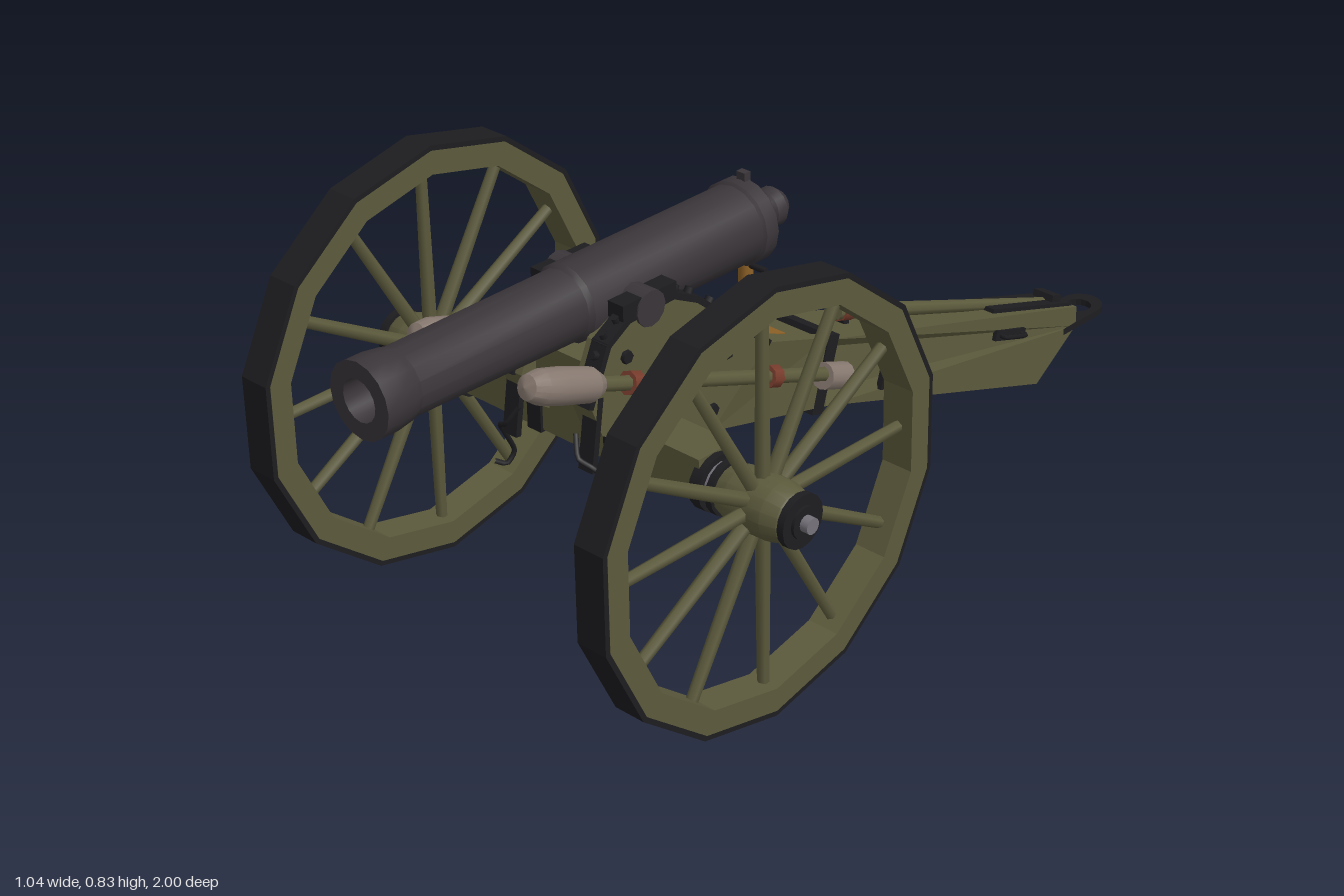
import * as THREE from 'three';
import { toCreasedNormals } from 'three/addons/utils/BufferGeometryUtils.js';

const paint = (color, extra = {}) => new THREE.MeshStandardMaterial({ color, ...extra });
const olive = paint(0x5c5a3c), iron = paint(0x1d1d20), gunmetal = paint(0x3a3539), steel = paint(0x75727a);
const fleece = paint(0x86786f), copper = paint(0x783c2c), brass = paint(0x8f6227);

const V = (x, y, z) => new THREE.Vector3(x, y, z);
const PITCH = 0.31;                                  // slope of the trail
const trailTop = z => 0.13 + (z + 0.88) * 0.313;
const trailHalf = z => z > -0.05 ? 0.078 : 0.078 + (z + 0.05) * 0.042;

export function createModel() {
  const model = new THREE.Group();

  function add(name, geometry, material, parent = model) {
    const mesh = new THREE.Mesh(geometry, material);
    mesh.name = name;
    parent.add(mesh);
    return mesh;
  }
  function box(name, size, pos, material, tilt = 0, parent = model) {
    const m = add(name, new THREE.BoxGeometry(...size), material, parent);
    m.position.set(...pos);
    m.rotation.x = tilt;
    return m;
  }
  // turned profile of [radius, distance along the axis]
  function turned(profile, sides) {
    const g = new THREE.LatheGeometry(profile.map(p => new THREE.Vector2(...p)), sides);
    return toCreasedNormals(g, 0.42);
  }
  const turnedX = (profile, sides) => turned(profile, sides).rotateZ(-Math.PI / 2).rotateX(Math.PI / 2);
  // side outline of [z, y], extruded from x0 to x1
  function slab(outline, x0, x1) {
    const shape = new THREE.Shape(outline.map(([z, y]) => new THREE.Vector2(-z, y)));
    return new THREE.ExtrudeGeometry(shape, { depth: x1 - x0, bevelEnabled: false })
      .rotateY(Math.PI / 2).translate(x0, 0, 0);
  }
  function bendX(g, rule) {
    const p = g.attributes.position;
    for (let i = 0; i < p.count; i++) p.setX(i, rule(p.getX(i), p.getZ(i)));
    g.computeVertexNormals();
    return g;
  }
  function rod(name, a, b, r0, r1, material, sides = 8, parent = model) {
    const m = add(name, new THREE.CylinderGeometry(r1, r0, a.distanceTo(b), sides), material, parent);
    m.position.copy(a).lerp(b, 0.5);
    m.quaternion.setFromUnitVectors(V(0, 1, 0), b.clone().sub(a).normalize());
    return m;
  }
  const wire = (name, pts, r, material = iron) =>
    add(name, new THREE.TubeGeometry(new THREE.CatmullRomCurve3(pts, false, 'catmullrom', 0.3), 24, r, 5), material);

  // Barrel with knob, breech ring, reinforce step, muzzle swell and bore
  const barrel = turned([[0, -0.005], [0.025, 0], [0.038, 0.018], [0.036, 0.04], [0.021, 0.056], [0.03, 0.068],
    [0.06, 0.075], [0.076, 0.085], [0.081, 0.09], [0.081, 0.12], [0.076, 0.125], [0.073, 0.54], [0.067, 0.55],
    [0.063, 0.92], [0.066, 0.93], [0.071, 0.965], [0.071, 1], [0.039, 1], [0.037, 0.9], [0, 0.9]], 16);
  add('barrel', barrel.rotateX(Math.PI / 2), gunmetal).position.y = 0.665;
  box('rearSight', [0.02, 0.02, 0.015], [0, 0.75, 0.095], gunmetal);

  // Trail: one tapering beam from the axle to the ground
  const trail = slab([[0.56, 0.47], [0.56, 0.58], [0.42, 0.575], [0.15, 0.465], [-0.05, 0.39], [-0.88, 0.13],
    [-0.88, 0.085], [-0.745, 0.003], [-0.05, 0.25], [0.3, 0.36], [0.45, 0.39]], -1, 1);
  add('trail', bendX(trail, (x, z) => x * trailHalf(z)), olive);
  box('trailBand', [0.172, 0.158, 0.03], [0, 0.325, -0.035], iron, -PITCH);
  box('trailTopPlate', [0.07, 0.012, 0.28], [0, trailTop(-0.74) + 0.002, -0.74], iron, -PITCH);
  box('trailSolePlate', [0.08, 0.012, 0.2], [0, 0.04, -0.645], iron, -PITCH - 0.03);

  // Towing eye
  const eye = new THREE.Shape();
  eye.moveTo(-0.045, 0.8).lineTo(0.045, 0.8).lineTo(0.045, 0.955);
  eye.absarc(0, 0.955, 0.045, 0, Math.PI, false);
  eye.holes.push(new THREE.Path().absarc(0, 0.945, 0.028, 0, Math.PI * 2, true));
  const eyeGeo = new THREE.ExtrudeGeometry(eye, { depth: 0.014, bevelEnabled: false, curveSegments: 8 });
  add('towingEye', eyeGeo.rotateX(-Math.PI / 2), iron).position.y = 0.08;

  // Handspike stowed on the trail
  rod('handspike', V(0, 0.38, -0.16), V(0, 0.145, -0.83), 0.017, 0.011, olive);
  rod('handspikeRing', V(0, 0.379, -0.17), V(0, 0.371, -0.195), 0.022, 0.022, copper);
  box('handspikePost', [0.02, 0.05, 0.015], [0, 0.35, -0.18], iron);
  box('handspikeCatch', [0.05, 0.035, 0.03], [0, 0.15, -0.83], iron, -PITCH);

  // Elevating screw under the breech
  rod('elevatingScrew', V(0, 0.43, 0.09), V(0, 0.6, 0.09), 0.014, 0.014, brass);
  rod('screwNut', V(0, 0.43, 0.09), V(0, 0.475, 0.09), 0.03, 0.024, brass);
  box('screwPlate', [0.12, 0.016, 0.08], [0, 0.442, 0.09], brass, -PITCH);
  rod('screwHandle', V(-0.05, 0.575, 0.09), V(0.05, 0.575, 0.09), 0.006, 0.006, iron, 6);

  // Axle
  box('axleBeam', [0.6, 0.085, 0.085], [0, 0.428, 0.49], olive);
  rod('axleRod', V(-0.505, 0.415, 0.49), V(0.505, 0.415, 0.49), 0.022, 0.022, steel, 10);

  const cheekTop = [[0.595, 0.525], [0.55, 0.625], [0.5, 0.655], [0.39, 0.66], [0.33, 0.63], [0.15, 0.475]];
  for (const s of [1, -1]) {
    const side = s > 0 ? 'left' : 'right';

    // Cheek, narrowing to meet the trail at the band
    const cheek = slab([...cheekTop, [-0.04, 0.4], [-0.04, 0.255], [0.3, 0.355], [0.46, 0.388], [0.57, 0.46]],
      s > 0 ? 0.06 : -0.11, s > 0 ? 0.11 : -0.06);
    add(side + 'Cheek', bendX(cheek, (x, z) => Math.abs(x) > 0.1 && z < 0.1 ? s * 0.083 : x), olive);

    // Iron strap over the cheek with bolts
    for (let i = 0; i < cheekTop.length - 1; i++) {
      const [z0, y0] = cheekTop[i], [z1, y1] = cheekTop[i + 1];
      const len = Math.hypot(z1 - z0, y1 - y0), tilt = Math.atan2(y1 - y0, z0 - z1);
      const strap = box(side + 'CheekStrap', [0.036, 0.012, len + 0.008],
        [s * 0.094, (y0 + y1) / 2, (z0 + z1) / 2], iron, tilt);
      for (let k = -1; k <= 1; k += 2) {
        const bolt = add('strapBolt', new THREE.CylinderGeometry(0.008, 0.009, 0.014, 6), iron, strap);
        bolt.position.set(0, 0.01, k * len * 0.3);
      }
    }
    for (const [z, y] of [[0.51, 0.59], [0.38, 0.57], [0.26, 0.5], [0.16, 0.41], [0.3, 0.4]])
      rod('cheekBolt', V(s * 0.1, y, z), V(s * 0.118, y, z), 0.014, 0.012, iron, 6);
    box(side + 'CheekFrontStrap', [0.034, 0.14, 0.012], [s * 0.094, 0.465, 0.582], iron, -0.15);
    box(side + 'AxleStrap', [0.034, 0.095, 0.096], [s * 0.095, 0.428, 0.49], iron);

    // Trunnion with its cap
    rod(side + 'Trunnion', V(s * 0.05, 0.66, 0.45), V(s * 0.115, 0.66, 0.45), 0.034, 0.034, gunmetal, 12);
    box(side + 'TrunnionCap', [0.036, 0.03, 0.13], [s * 0.094, 0.672, 0.45], iron);

    // Trail side fittings
    const plate = box(side + 'TrailPlate', [0.012, 0.09, 0.09], [s * 0.071, 0.25, -0.26], iron, -PITCH);
    plate.rotation.y = s * 0.042;
    const hx = s * trailHalf(-0.64);
    wire(side + 'TrailHandle', [V(hx * 0.9, 0.175, -0.605), V(hx + s * 0.018, 0.175, -0.605),
      V(hx + s * 0.018, 0.155, -0.67), V(hx * 0.9, 0.155, -0.67)], 0.005);
    box(side + 'HandlePlate', [0.012, 0.022, 0.1], [hx, 0.165, -0.635], iron, -PITCH);

    // Hook hanging from the axle
    wire(side + 'AxleHook', [V(s * 0.07, 0.46, 0.595), V(s * 0.09, 0.425, 0.61), V(s * 0.12, 0.405, 0.595),
      V(s * 0.125, 0.34, 0.56), V(s * 0.13, 0.315, 0.575), V(s * 0.14, 0.325, 0.595)], 0.005);

    // Sponge staff along the cheek
    const staff = z => V(s * 0.135, 0.36 + z * 0.37, z);
    rod(side + 'Staff', staff(0), staff(0.62), 0.014, 0.014, olive);
    const head = add(side + 'SpongeHead', turned([[0, 0], [0.02, 0], [0.031, 0.022], [0.033, 0.1], [0.031, 0.145],
      [0.022, 0.172], [0, 0.18]], 16), fleece);
    head.position.copy(staff(0.6));
    head.quaternion.setFromUnitVectors(V(0, 1, 0), staff(1).sub(staff(0)).normalize());
    for (const z of [0.17, 0.52]) {
      rod(side + 'StaffRing', staff(z - 0.012), staff(z + 0.012), 0.022, 0.022, copper);
      box(side + 'StaffBracket', [0.05, 0.014, 0.02], [s * 0.118, staff(z).y, z], iron);
    }

    // Wheel
    const wheel = new THREE.Group();
    wheel.name = side + 'Wheel';
    wheel.position.set(s * 0.41, 0.415, 0.495);
    wheel.rotation.y = s > 0 ? 0 : Math.PI;
    model.add(wheel);
    const ring = (r0, r1, w) => turnedX([[r0, -w], [r1, -w], [r1, w], [r0, w], [r0, -w]], 14);
    add('tire', ring(0.4, 0.414, 0.032), iron, wheel);
    add('rim', ring(0.358, 0.404, 0.0325), olive, wheel);
    for (let i = 0; i < 12; i++) {
      const a = i * Math.PI / 6, c = Math.cos(a), d = Math.sin(a);
      rod('spoke', V(0, c * 0.04, d * 0.04), V(0, c * 0.37, d * 0.37), 0.014, 0.011, olive, 6, wheel);
    }
    add('hub', turnedX([[0, -0.075], [0.044, -0.075], [0.053, -0.045], [0.056, 0], [0.055, 0.04],
      [0.047, 0.07], [0.04, 0.08], [0, 0.08]], 16), olive, wheel);
    for (const [name, x0, x1, r, m] of [['innerHubBand', -0.084, -0.07, 0.052, iron],
      ['outerHubBand', 0.076, 0.09, 0.05, iron], ['axleCollar', -0.12, -0.096, 0.054, iron],
      ['axleWasher', -0.1, -0.082, 0.042, steel], ['hubCap', 0.088, 0.096, 0.03, iron],
      ['axleNut', 0.094, 0.112, 0.015, steel]])
      rod(name, V(x0, 0, 0), V(x1, 0, 0), r, r, m, 16, wheel);
  }

  // Rammer block on one staff, corkscrew worm on the other
  rod('rammerBlock', V(0.135, 0.345, -0.03), V(0.135, 0.367, 0.03), 0.026, 0.026, fleece, 12);
  const worm = [];
  for (let i = 0; i <= 20; i++) {
    const a = i * 0.8;
    worm.push(V(-0.135 + 0.02 * Math.cos(a), 0.365 - i * 0.0012 + 0.02 * Math.sin(a), 0.03 - i * 0.003));
  }
  wire('worm', worm, 0.005);

  return model;
}
